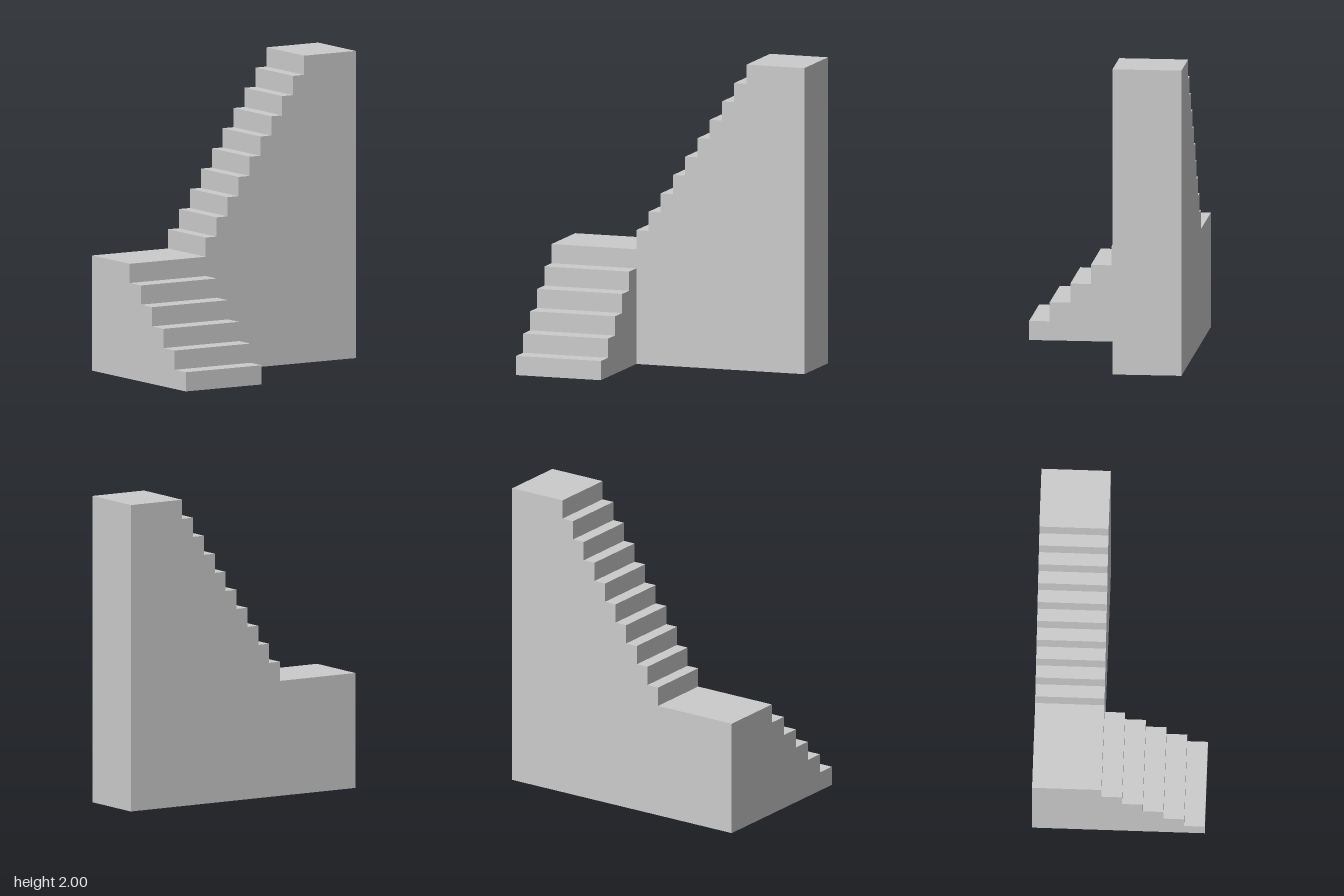
import * as THREE from 'three';

const RISE = 0.125;
const LEFT = -0.867, INNER = -0.285, RIGHT = 0.867; // x limits
const BACK = -0.557, MIDDLE = -0.11, FRONT = 0.557; // z limits

// Solid staircase outline from a start point: each step rises, then runs along
function stairShape(start, base, treads) {
  const shape = new THREE.Shape();
  shape.moveTo(start, 0);
  let x = start, y = base;
  for (const tread of treads) {
    y += RISE;
    shape.lineTo(x, y);
    x += tread;
    shape.lineTo(x, y);
  }
  shape.lineTo(x, 0);
  shape.closePath();
  return shape;
}

function extrude(shape, depth) {
  return new THREE.ExtrudeGeometry(shape, { depth, bevelEnabled: false });
}

export function createModel() {
  const group = new THREE.Group();
  const material = new THREE.MeshStandardMaterial({ color: 0xcccccc, flatShading: true });
  const add = (name, geometry) => {
    const mesh = new THREE.Mesh(geometry, material);
    mesh.name = name;
    group.add(mesh);
  };

  // Corner landing, nine steps and the top platform, running along x
  const topStart = 0.47;
  const upperTread = (topStart - INNER) / 9;
  const upperTreads = [INNER - LEFT, ...Array(9).fill(upperTread), RIGHT - topStart];
  const upper = extrude(stairShape(LEFT, 5 * RISE, upperTreads), MIDDLE - BACK);
  upper.translate(0, 0, BACK);
  add('upperFlightWithLandings', upper);

  // Five steps from the ground up to the corner landing, running along z
  const lowerTreads = Array(5).fill((MIDDLE - FRONT) / 5);
  const lower = extrude(stairShape(FRONT, 0, lowerTreads), INNER - LEFT);
  lower.rotateY(-Math.PI / 2).translate(INNER, 0, 0);
  add('lowerFlight', lower);

  return group;
}
